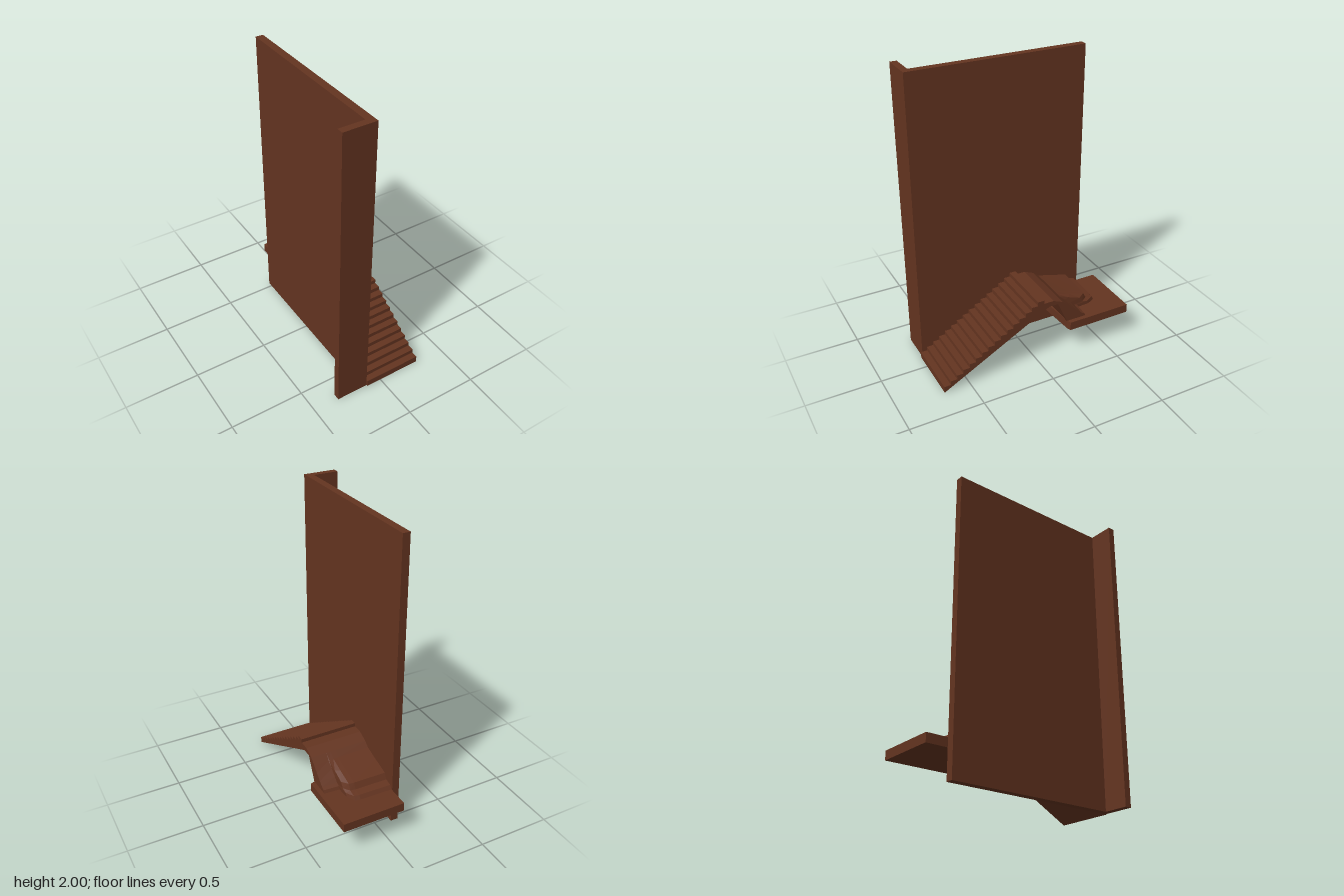
import * as THREE from 'three';

const material = new THREE.MeshStandardMaterial({ color: 0x643420, flatShading: true, side: THREE.DoubleSide });
const X0 = -0.105, X1 = 0.295; // walkway width

function add(group, name, geometry) {
  const mesh = new THREE.Mesh(geometry, material);
  mesh.name = name;
  group.add(mesh);
}

function box(x0, x1, y0, y1, z0, z1) {
  return new THREE.BoxGeometry(x1 - x0, y1 - y0, z1 - z0)
    .translate((x0 + x1) / 2, (y0 + y1) / 2, (z0 + z1) / 2);
}

const toShape = (points) => new THREE.Shape(points.map(([a, b]) => new THREE.Vector2(a, b)));

// Stepped side profile (distance towards the back, height), extruded across the width
function stairGeometry() {
  const steps = 16, tread = 0.045, rise = 0.0287;
  const profile = [[-0.68, 0]];
  for (let i = 0; i < steps; i++) {
    const y = 0.045 + i * rise;
    profile.push([-0.68 + i * tread, y], [-0.68 + (i + 1) * tread, y]);
  }
  profile.push([0.04, 0.45], [0.08, 0.45], [0.08, 0.415]);
  return new THREE.ExtrudeGeometry(toShape(profile), { depth: X1 - X0, bevelEnabled: false })
    .rotateY(Math.PI / 2).translate(X0, 0, 0);
}

// Broken ramp: a long profile near the wall blends into a short one at the open side
function rampGeometry() {
  const long = [[0.08, 0.45], [0.11, 0.45], [0.18, 0.42], [0.22, 0.388], [0.32, 0.36], [0.44, 0.33],
    [0.46, 0.29], [0.51, 0.28], [0.53, 0.25], [0.22, 0.25], [0.145, 0.415], [0.08, 0.415]];
  const short = [[0.08, 0.45], [0.11, 0.45], [0.18, 0.42], [0.22, 0.385], [0.26, 0.348], [0.30, 0.312],
    [0.33, 0.285], [0.352, 0.275], [0.365, 0.25], [0.22, 0.25], [0.145, 0.415], [0.08, 0.415]];
  const sections = [[X0, 0], [0.12, 0.04], [0.155, 0.08], [0.185, 0.42], [0.19, 0.95], [X1, 1]];
  const n = long.length, positions = [], index = [];
  for (const [x, t] of sections) {
    long.forEach(([u, y], j) => positions.push(
      x, THREE.MathUtils.lerp(y, short[j][1], t), -THREE.MathUtils.lerp(u, short[j][0], t)));
  }
  for (let i = 0; i < sections.length - 1; i++) {
    for (let j = 0; j < n; j++) {
      const k = (j + 1) % n, a = i * n + j, b = i * n + k, c = b + n, d = a + n;
      index.push(a, d, c, a, c, b);
    }
  }
  // End caps
  const last = (sections.length - 1) * n;
  for (const [profile, start] of [[long, 0], [short, last]]) {
    const contour = profile.map(([a, b]) => new THREE.Vector2(a, b));
    for (const [a, b, c] of THREE.ShapeUtils.triangulateShape(contour, [])) {
      index.push(start + a, start + b, start + c);
    }
  }
  const geometry = new THREE.BufferGeometry();
  geometry.setAttribute('position', new THREE.Float32BufferAttribute(positions, 3));
  geometry.setIndex(index);
  const flat = geometry.toNonIndexed();
  flat.computeVertexNormals();
  return flat;
}

// Landing slab with a slanted front edge
function landingGeometry() {
  const plan = [[X0, -0.68], [0.325, -0.68], [0.325, -0.23], [X1, -0.22], [X0, -0.19]];
  return new THREE.ExtrudeGeometry(toShape(plan), { depth: 0.06, bevelEnabled: false })
    .rotateX(Math.PI / 2).translate(0, 0.255, 0);
}

export function createModel() {
  const group = new THREE.Group();
  group.name = 'wallWithStairs';
  add(group, 'sideWall', box(-0.155, X0, 0, 2, -0.535, 0.67));
  add(group, 'returnWall', box(-0.325, -0.155, 0, 2, 0.625, 0.67));
  add(group, 'stairs', stairGeometry());
  add(group, 'brokenRamp', rampGeometry());
  add(group, 'landing', landingGeometry());
  return group;
}
